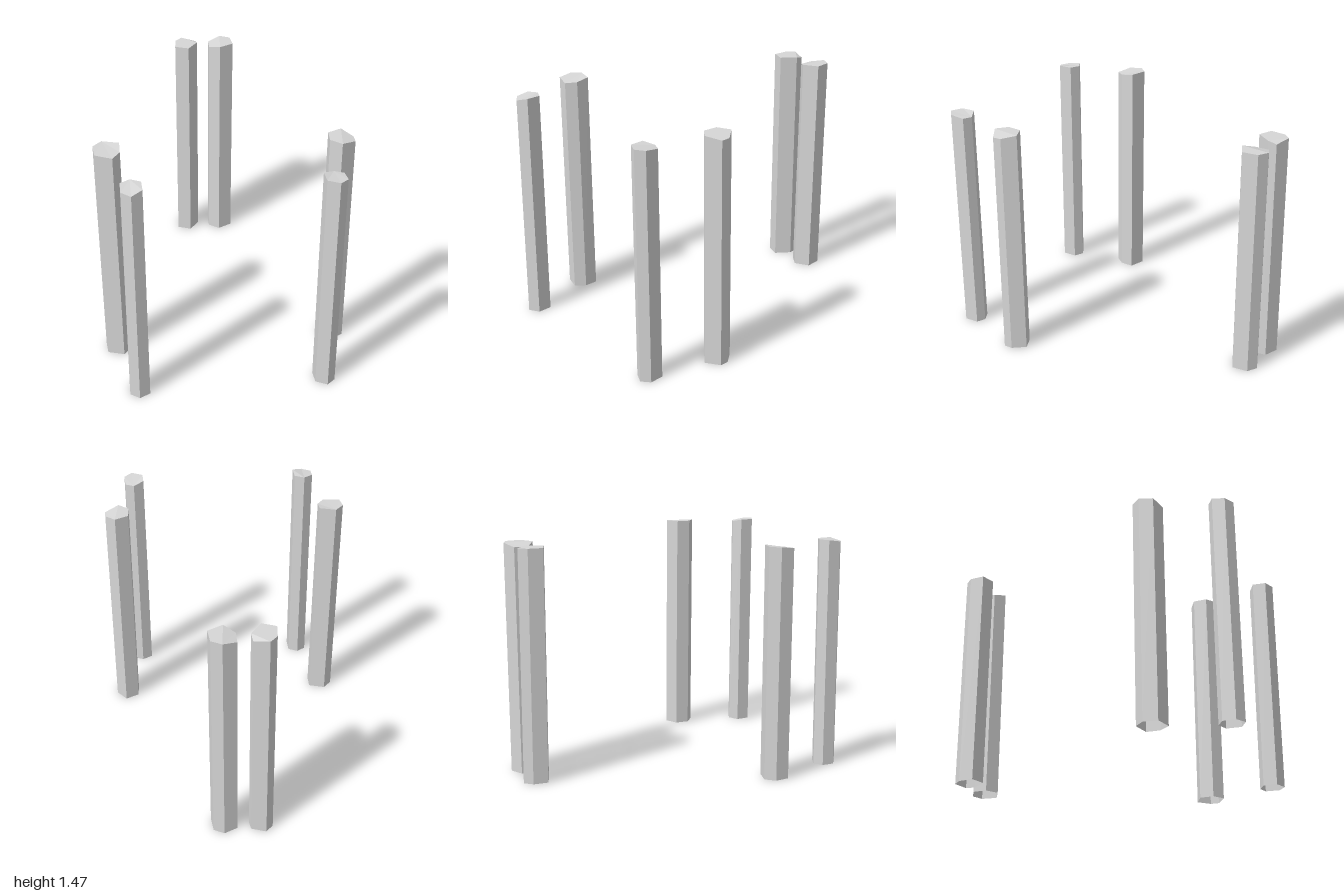
import * as THREE from 'three';

// Each column: top outline [x, z] x 6, corner heights below the top, and the foot's sideways shift
const H = 1.47;
const COLUMNS = [
  { name: 'backRightColumn', foot: [-0.003, -0.002], drop: [0, 0.015, 0, 0, 0, 0],
    outline: [[-0.135, -0.998], [-0.042, -0.965], [-0.035, -0.91], [-0.1, -0.82], [-0.188, -0.855], [-0.18, -0.95]] },
  { name: 'backLeftColumn', foot: [-0.007, 0.007], drop: [0, 0, 0, 0, 0.02, 0.02],
    outline: [[0.13, -1.0], [0.195, -0.965], [0.205, -0.865], [0.113, -0.817], [0.045, -0.87], [0.045, -0.96]] },
  { name: 'middleRightColumn', foot: [0.009, 0.004], drop: [0, 0, 0.015, 0.02, 0.01, 0],
    outline: [[-0.72, 0.385], [-0.617, 0.415], [-0.617, 0.5], [-0.663, 0.562], [-0.765, 0.53], [-0.773, 0.44]] },
  { name: 'middleLeftColumn', foot: [0.002, -0.003], drop: [0, 0.016, 0.018, 0, 0, 0],
    outline: [[0.705, 0.385], [0.767, 0.46], [0.768, 0.515], [0.68, 0.57], [0.615, 0.515], [0.62, 0.425]] },
  { name: 'frontRightColumn', foot: [-0.002, 0.005], drop: [0, 0, 0, 0.017, 0.012, 0],
    outline: [[-0.575, 0.83], [-0.513, 0.86], [-0.51, 0.95], [-0.575, 0.987], [-0.632, 0.945], [-0.632, 0.865]] },
  { name: 'frontLeftColumn', foot: [0.001, -0.006], drop: [0.015, 0.015, 0.004, 0, 0, 0],
    outline: [[0.575, 0.84], [0.63, 0.865], [0.636, 0.955], [0.585, 0.998], [0.514, 0.962], [0.51, 0.875]] },
];

// Six-sided shaft with a faceted cap and an open foot
function columnGeometry({ outline, drop, foot }) {
  const top = outline.map(([x, z], i) => [x, H - drop[i], z]);
  const base = outline.map(([x, z]) => [x + foot[0], 0, z + foot[1]]);
  const points = [];
  const n = top.length;
  for (let i = 0; i < n; i++) {
    const j = (i + 1) % n;
    points.push(top[i], top[j], base[j], top[i], base[j], base[i]);
    if (i > 0 && i < n - 1) points.push(top[0], top[j], top[i]);
  }
  const geometry = new THREE.BufferGeometry();
  geometry.setAttribute('position', new THREE.Float32BufferAttribute(points.flat(), 3));
  geometry.computeVertexNormals();
  return geometry;
}

export function createModel() {
  const group = new THREE.Group();
  group.name = 'stoneColumns';
  const stone = new THREE.MeshStandardMaterial({ color: 0xd6d6d6, flatShading: true, side: THREE.DoubleSide });
  stone.name = 'pale grey stone';
  for (const column of COLUMNS) {
    const mesh = new THREE.Mesh(columnGeometry(column), stone);
    mesh.name = column.name;
    group.add(mesh);
  }
  return group;
}
